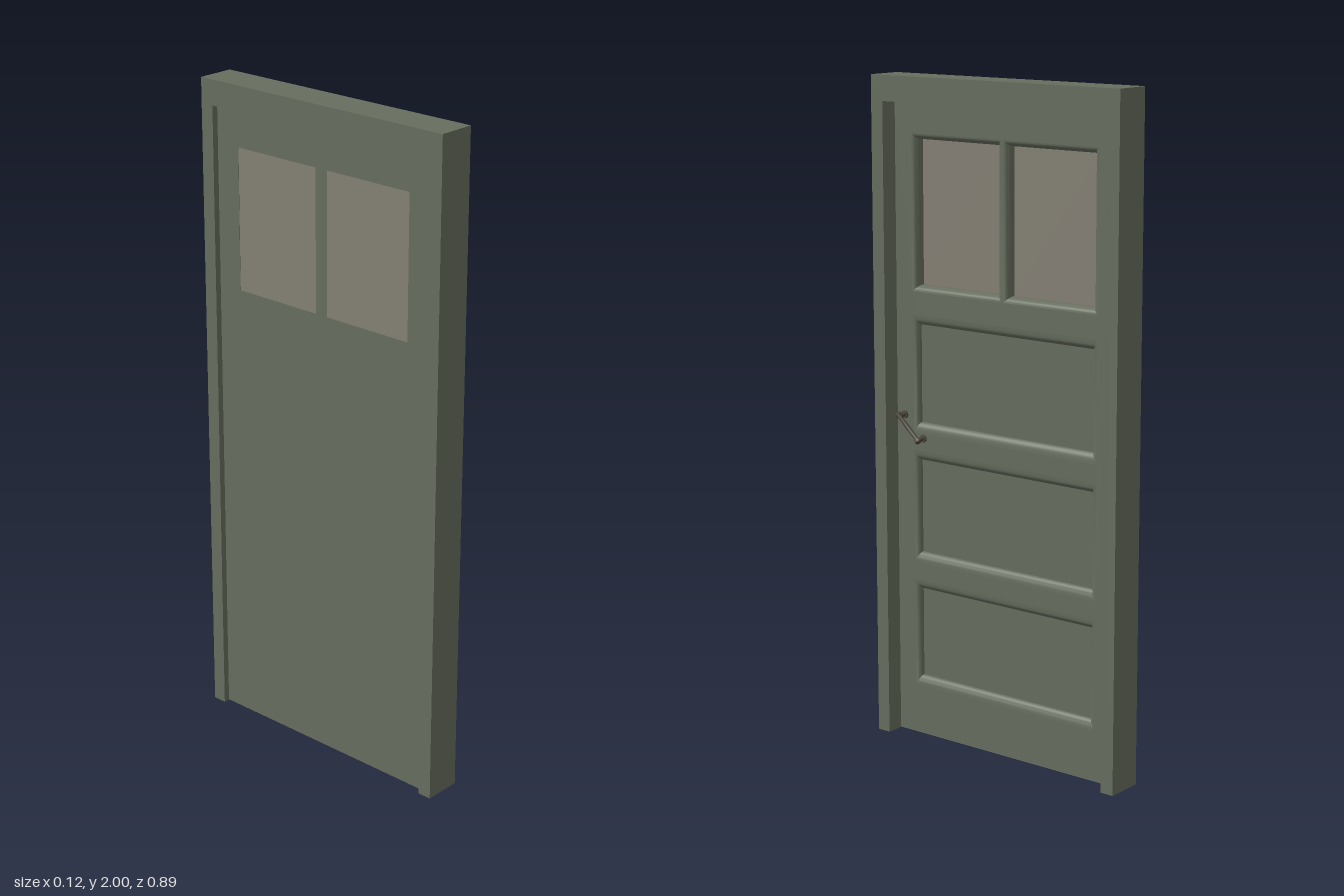
import * as THREE from 'three';
import { toCreasedNormals } from 'three/addons/utils/BufferGeometryUtils.js';

const paint = new THREE.MeshStandardMaterial({ color: 0x676e5f });
const glass = new THREE.MeshStandardMaterial({ color: 0x858175 });
const metal = new THREE.MeshStandardMaterial({ color: 0x4d473e });

// Local space: u across the door, v up, w towards the panelled face.
const FACE = 0.004, BACK = -0.04, FIELD = -0.014;
const OPEN_U = 0.4, OPEN_V = 1.925;

// Openings: outer rectangle, moulding widths and depth of the sunk field.
const panels = [[0.945, 1.3], [0.545, 0.89], [0.155, 0.49]].map(([v0, v1]) =>
  ({ u0: -0.336, u1: 0.336, v0, v1, du: 0.018, dv: 0.03, floor: FIELD }));
const windows = [-1, 1].map((s) => ({
  u0: s < 0 ? -0.336 : 0.003, u1: s < 0 ? -0.003 : 0.336,
  v0: 1.37, v1: 1.833, du: 0.018, dv: 0.018, floor: -0.024,
}));

const rect = (o, t = 0) => [
  [o.u0 + o.du * t, o.v0 + o.dv * t], [o.u1 - o.du * t, o.v0 + o.dv * t],
  [o.u1 - o.du * t, o.v1 - o.dv * t], [o.u0 + o.du * t, o.v1 - o.dv * t],
];
const outline = (pts) => pts.map(([u, v]) => new THREE.Vector2(u, v));

function add(parent, name, geometry, material) {
  const mesh = new THREE.Mesh(geometry, material);
  mesh.name = name;
  parent.add(mesh);
  return mesh;
}

// Flat board between two depths, with holes cut through it.
function board(pts, holes, w0, w1) {
  const shape = new THREE.Shape(outline(pts));
  holes.forEach((h) => shape.holes.push(new THREE.Path(outline(h))));
  return new THREE.ExtrudeGeometry(shape, { depth: w1 - w0, bevelEnabled: false }).translate(0, 0, w0);
}

// Mitred moulding that rolls over from the face down to the sunk field.
function moulding(o) {
  const steps = 6, pos = [];
  const rings = [];
  for (let i = 0; i <= steps; i++) {
    const a = (i / steps) * Math.PI / 2;
    const w = FACE - (FACE - o.floor) * (1 - Math.cos(a));
    rings.push(rect(o, Math.sin(a)).map(([u, v]) => [u, v, w]));
  }
  for (let i = 0; i < steps; i++) {
    for (let k = 0; k < 4; k++) {
      const n = (k + 1) % 4;
      const a = rings[i][k], b = rings[i][n], c = rings[i + 1][n], d = rings[i + 1][k];
      pos.push(...a, ...b, ...c, ...a, ...c, ...d);
    }
  }
  const g = new THREE.BufferGeometry();
  g.setAttribute('position', new THREE.Float32BufferAttribute(pos, 3));
  return toCreasedNormals(g, 0.6);
}

// Slanted pull handle: waisted bar on two posts.
function handle() {
  const g = new THREE.Group();
  g.name = 'handle';
  const half = 0.057;
  const profile = [[0, -half], [0.009, -half], [0.011, -half + 0.006], [0.006, -half + 0.016],
    [0.007, 0], [0.006, half - 0.016], [0.011, half - 0.006], [0.009, half], [0, half]];
  add(g, 'handleBar', new THREE.LatheGeometry(outline(profile), 16), metal).position.z = 0.028;
  for (const s of [-1, 1]) {
    const post = add(g, 'handlePost', new THREE.CylinderGeometry(0.005, 0.007, 0.028, 12), metal);
    post.rotation.x = Math.PI / 2;
    post.position.set(0, s * (half - 0.009), 0.014);
    const rose = add(g, 'handleRose', new THREE.CylinderGeometry(0.011, 0.012, 0.005, 16), metal);
    rose.rotation.x = Math.PI / 2;
    rose.position.set(0, s * (half - 0.009), 0.0025);
  }
  g.position.set(-0.334, 0.962, FACE);
  g.rotation.z = 0.83;
  return g;
}

export function createModel() {
  const model = new THREE.Group();
  model.name = 'door';
  const body = new THREE.Group();
  body.name = 'doorAssembly';
  body.rotation.y = Math.PI / 2;
  model.add(body);

  // Frame: two jambs and a head in one U shape
  const U = 0.443;
  add(body, 'frame', board([[-U, 0], [-OPEN_U, 0], [-OPEN_U, OPEN_V], [OPEN_U, OPEN_V],
    [OPEN_U, 0], [U, 0], [U, 2], [-U, 2]], [], -0.058, 0.057), paint);

  // Leaf: solid back board and a front layer cut for all openings
  const e = OPEN_U - 0.001;
  const leaf = [[-e, 0.002], [e, 0.002], [e, OPEN_V - 0.002], [-e, OPEN_V - 0.002]];
  add(body, 'leafBack', board(leaf, windows.map((o) => rect(o, 1)), BACK, -0.024), paint);
  add(body, 'leafCore', board(leaf, windows.map((o) => rect(o)), -0.024, FIELD), paint);
  add(body, 'leafFront', board(leaf, [...windows, ...panels].map((o) => rect(o)), FIELD, FACE), paint);

  // Mouldings and panes
  panels.forEach((o) => add(body, 'panelMoulding', moulding(o), paint));
  windows.forEach((o) => {
    add(body, 'windowMoulding', moulding(o), paint);
    add(body, 'windowPane', board(rect(o, 1), [], BACK + 0.001, -0.026), glass);
  });

  body.add(handle());
  return model;
}
